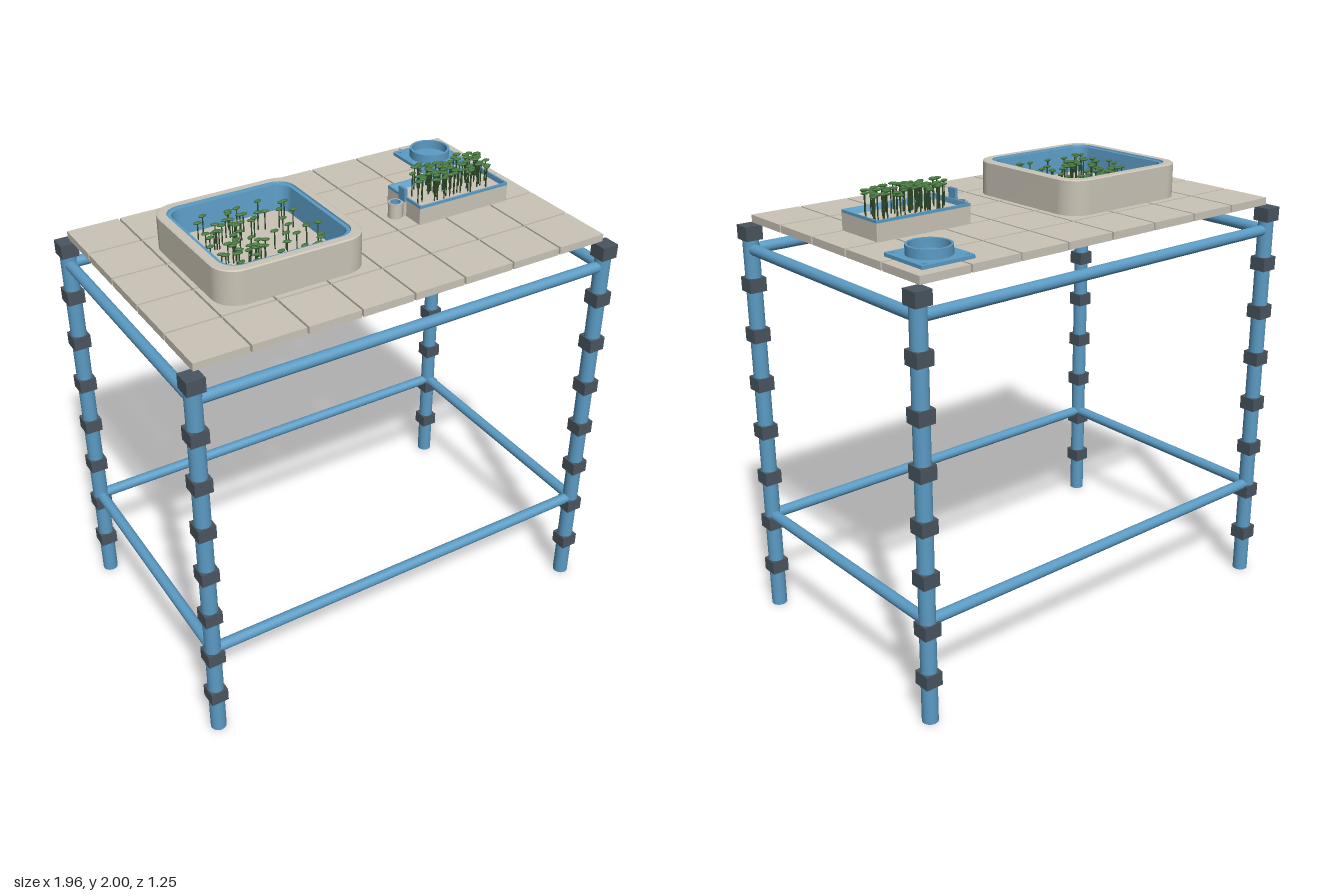
import * as THREE from 'three';
import { mergeGeometries } from 'three/addons/utils/BufferGeometryUtils.js';

const mat = (name, color) => Object.assign(new THREE.MeshStandardMaterial({ color }), { name });

// Closed rounded-rectangle outline, as [x, z] points
function outline(hx, hz, r, steps = 8) {
  const pts = [];
  [[1, 1], [-1, 1], [-1, -1], [1, -1]].forEach(([sx, sz], q) => {
    for (let i = 0; i <= steps; i++) {
      const a = (q + i / steps) * Math.PI / 2;
      pts.push([sx * (hx - r) + r * Math.cos(a), sz * (hz - r) + r * Math.sin(a)]);
    }
  });
  return pts;
}

// Skin through rounded-rectangle rows [hx, hz, r, y]; each band keeps a sharp edge to the next
function loft(rows) {
  const pos = [], idx = [];
  for (let k = 0; k < rows.length - 1; k++) {
    const base = pos.length / 3;
    const loops = [rows[k], rows[k + 1]].map(([hx, hz, r, y]) =>
      outline(hx, hz, r).map(([x, z]) => [x, y, z]));
    loops.forEach(l => l.forEach(p => pos.push(...p)));
    const n = loops[0].length;
    for (let i = 0; i < n; i++) {
      const a = base + i, b = base + (i + 1) % n;
      idx.push(a, a + n, b, b, a + n, b + n);
    }
  }
  const g = new THREE.BufferGeometry();
  g.setAttribute('position', new THREE.Float32BufferAttribute(pos, 3));
  g.setIndex(idx);
  g.computeVertexNormals();
  return g;
}

function seeded(seed) {
  return () => {
    seed = (seed * 16807) % 2147483647;
    return seed / 2147483647;
  };
}

export function createModel() {
  const model = new THREE.Group();
  model.name = 'plantingTable';
  const blue = mat('pipeBlue', 0x5b9bc4);
  const stone = mat('stoneBeige', 0xcac4b6);
  const dark = mat('collarSlate', 0x4a555f);
  const leafGreen = mat('leafGreen', 0x44753c);
  const stemGreen = mat('stemGreen', 0x2f4a2a);

  const add = (parent, name, geo, material, x = 0, y = 0, z = 0) => {
    const m = new THREE.Mesh(geo, material);
    m.name = name;
    m.position.set(x, y, z);
    parent.add(m);
    return m;
  };
  const group = (name, x = 0, y = 0, z = 0) => {
    const g = new THREE.Group();
    g.name = name;
    g.position.set(x, y, z);
    model.add(g);
    return g;
  };

  // Legs with evenly spaced collars
  const LX = 0.94, LZ = 0.585;
  const legGeo = new THREE.CylinderGeometry(0.034, 0.034, 1.78, 24);
  const collarGeo = new THREE.BoxGeometry(0.076, 0.06, 0.076);
  for (const sx of [-1, 1]) for (const sz of [-1, 1]) {
    const leg = group('leg', sx * LX, 0, sz * LZ);
    add(leg, 'legPipe', legGeo, blue, 0, 0.89, 0);
    for (let i = 0; i < 8; i++) add(leg, 'collar', collarGeo, dark, 0, 0.2 + i * 0.2225, 0);
  }

  // Lower and upper rails
  const rails = group('rails');
  const railX = new THREE.CylinderGeometry(0.024, 0.024, 2 * LX, 20).rotateZ(Math.PI / 2);
  const railZ = new THREE.CylinderGeometry(0.024, 0.024, 2 * LZ, 20).rotateX(Math.PI / 2);
  for (const y of [0.455, 1.685]) for (const s of [-1, 1]) {
    add(rails, 'longRail', railX, blue, 0, y, s * LZ);
    add(rails, 'sideRail', railZ, blue, s * LX, y, 0);
  }

  // Tiled top, 8 by 5
  const top = group('tileTop');
  const PX = 0.2335, PZ = 0.235;
  const tileGeo = new THREE.BoxGeometry(PX - 0.009, 0.032, PZ - 0.009);
  for (let i = 0; i < 8; i++) for (let j = 0; j < 5; j++)
    add(top, 'tile', tileGeo, stone, (i - 3.5) * PX, 1.813, (j - 2) * PZ - 0.003);

  const deck = 1.829;

  // Large square planter with blue lining
  const pot = group('largePlanter', -0.353, deck, 0);
  add(pot, 'planterWall', loft([
    [0.322, 0.322, 0.1, 0], [0.322, 0.322, 0.1, 0.143],
    [0.316, 0.316, 0.095, 0.147], [0.285, 0.285, 0.075, 0.147],
  ]), stone);
  add(pot, 'planterLining', loft([
    [0.285, 0.285, 0.075, 0.147], [0.283, 0.283, 0.074, 0.14],
    [0.268, 0.268, 0.062, 0.14], [0.258, 0.258, 0.055, 0.03],
  ]), blue);
  add(pot, 'planterSoil', loft([[0.26, 0.26, 0.055, 0.03], [0, 0, 0, 0.03]]), stone);

  // Small tray with blue rim
  const tray = group('smallTray', 0.561, deck, 0);
  add(tray, 'trayWall', loft([
    [0.225, 0.122, 0.004, 0], [0.225, 0.122, 0.004, 0.072],
  ]), stone);
  add(tray, 'trayRim', loft([
    [0.225, 0.122, 0.004, 0.072], [0.225, 0.122, 0.004, 0.083],
    [0.217, 0.114, 0.003, 0.083], [0.215, 0.096, 0.002, 0.062],
  ]), blue);
  add(tray, 'traySoil', loft([[0.216, 0.098, 0.002, 0.062], [0, 0, 0, 0.062]]), stone);

  // Spout cup and upright tab on the tray's end
  const ring = (ro, ri, y0, y1) => new THREE.LatheGeometry(
    [[ri, y0], [ro, y0], [ro, y0], [ro, y1], [ro, y1], [ri, y1], [ri, y1], [ri, y0]]
      .map(([r, y]) => new THREE.Vector2(r, y)), 32);
  add(tray, 'cupWall', ring(0.031, 0.024, 0, 0.066), stone, -0.266, 0, 0);
  add(tray, 'cupLining', ring(0.025, 0.02, 0, 0.067), blue, -0.266, 0, 0);
  add(tray, 'cupBridge', new THREE.BoxGeometry(0.02, 0.066, 0.044), stone, -0.23, 0.033, 0);
  add(tray, 'cupTab', new THREE.BoxGeometry(0.014, 0.058, 0.044), blue, -0.23, 0.095, 0);

  // Blue socket flange with bolt holes
  const flange = group('socketFlange', 0.758, deck, -0.413);
  const plate = new THREE.Shape(outline(0.12, 0.12, 0.008, 3).map(p => new THREE.Vector2(...p)));
  for (const sx of [-1, 1]) for (const sy of [-1, 1])
    plate.holes.push(new THREE.Path().absarc(sx * 0.098, sy * 0.098, 0.009, 0, Math.PI * 2, true));
  add(flange, 'flangePlate', new THREE.ExtrudeGeometry(plate, {
    depth: 0.014, bevelEnabled: false, curveSegments: 8,
  }).rotateX(-Math.PI / 2), blue);
  add(flange, 'flangeSocket', ring(0.09, 0.08, 0.01, 0.052), blue);

  // Seedlings: thin stems with flat oval leaves
  function seedlings(parent, count, hx, hz, base, height, seed) {
    const rnd = seeded(seed), stems = [], leaves = [];
    for (let i = 0; i < count; i++) {
      const x = (rnd() * 2 - 1) * hx, z = (rnd() * 2 - 1) * hz;
      const h = height * (0.85 + 0.15 * rnd());
      stems.push(new THREE.CylinderGeometry(0.0025, 0.003, h, 5).translate(x, base + h / 2, z));
      leaves.push(new THREE.SphereGeometry(1, 8, 6).scale(0.019, 0.006, 0.01)
        .rotateY((rnd() - 0.5) * 0.7).translate(x, base + h - 0.004, z));
    }
    add(parent, 'seedlingStems', mergeGeometries(stems), stemGreen);
    add(parent, 'seedlingLeaves', mergeGeometries(leaves), leafGreen);
  }
  seedlings(pot, 72, 0.238, 0.242, 0.03, 0.09, 77123);
  seedlings(tray, 75, 0.195, 0.085, 0.062, 0.109, 40961);

  return model;
}
